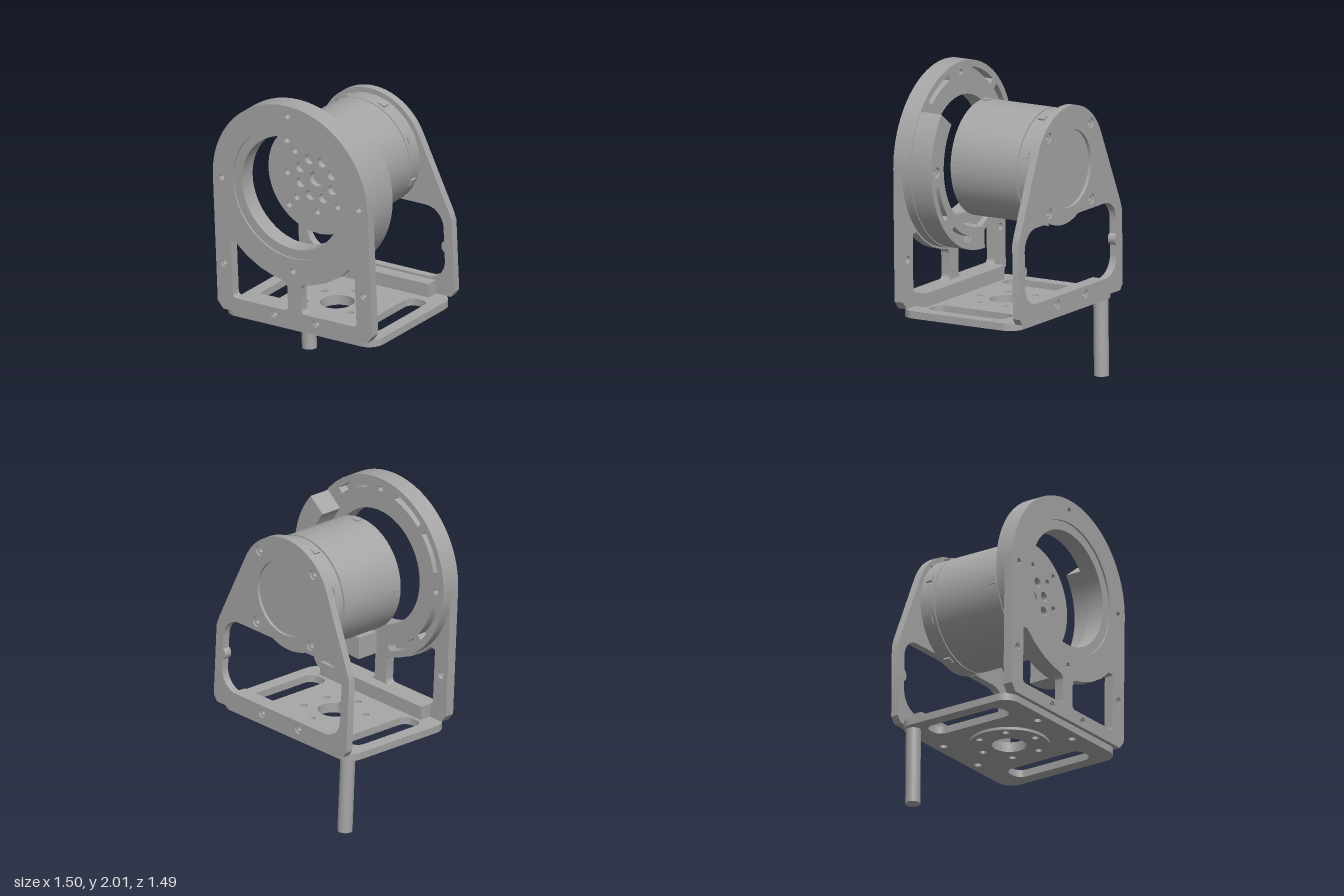
import * as THREE from 'three';
import { toCreasedNormals } from 'three/addons/utils/BufferGeometryUtils.js';

const CX = 0.02, CY = 1.425;   // shared axis of ring and motor
const rad = Math.PI / 180;

export function createModel() {
  const metal = new THREE.MeshStandardMaterial({ color: 0xa6a6a6 });
  metal.name = 'grey metal';
  const model = new THREE.Group();
  model.name = 'motorMount';
  // The whole mount is turned and leans slightly
  model.rotation.set(0, -0.84, 0.037, 'ZYX');

  // ---------- helpers ----------
  const add = (name, geo, x = 0, y = 0, z = 0) => {
    const m = new THREE.Mesh(geo, metal);
    m.name = name;
    m.position.set(x, y, z);
    model.add(m);
    return m;
  };
  const extrude = (shape, depth) => toCreasedNormals(
    new THREE.ExtrudeGeometry(shape, { depth, bevelEnabled: false, curveSegments: 32 }), 0.6);
  // Upright plate between z0 and z1
  const plate = (name, shape, z0, z1) => add(name, extrude(shape, z1 - z0), CX, 0, z0);
  // Flat plate between y0 and y1 (shape y runs towards -z)
  const slab = (name, shape, y0, y1) =>
    add(name, extrude(shape, y1 - y0).rotateX(-Math.PI / 2), CX, y0, 0);
  const circle = (C, x, y, r) => new C().absarc(x, y, r, 0, Math.PI * 2, C === THREE.Path);
  const roundRect = (C, x0, y0, x1, y1, r) => {
    const p = new C();
    p.absarc(x1 - r, y0 + r, r, -Math.PI / 2, 0);
    p.absarc(x1 - r, y1 - r, r, 0, Math.PI / 2);
    p.absarc(x0 + r, y1 - r, r, Math.PI / 2, Math.PI);
    p.absarc(x0 + r, y0 + r, r, Math.PI, Math.PI * 1.5);
    p.closePath();
    return p;
  };
  const sector = (C, y, r0, r1, a0, a1) => {
    const p = new C();
    p.absarc(0, y, r1, a0 * rad, a1 * rad, false);
    p.absarc(0, y, r0, a1 * rad, a0 * rad, true);
    p.closePath();
    return p;
  };
  const hole = (s, x, y, r) => s.holes.push(circle(THREE.Path, x, y, r));
  const ringHoles = (s, y, n, R, r, start = 0) => {
    for (let i = 0; i < n; i++) {
      const a = start * rad + i * Math.PI * 2 / n;
      hole(s, R * Math.cos(a), y + R * Math.sin(a), r);
    }
  };
  // Socket screw head along z, made as a small ring
  const screw = (x, y, z, r = 0.032) => {
    const s = circle(THREE.Shape, 0, 0, r);
    s.holes.push(circle(THREE.Path, 0, 0, r * 0.5));
    add('screwHead', extrude(s, 0.03), CX + x, y, z);
  };

  // ---------- front plate: ring on two legs and a strut ----------
  const R = 0.588, BOT = 0.54;
  const front = new THREE.Shape();
  front.moveTo(-R + 0.04, BOT);
  front.lineTo(R - 0.04, BOT);
  front.lineTo(R, BOT + 0.05);
  front.absarc(0, CY, R, 0, Math.PI, false);
  front.lineTo(-R, BOT + 0.05);
  front.closePath();
  hole(front, 0, CY, 0.435);
  ringHoles(front, CY, 4, 0.52, 0.019);
  for (const s of [-1, 1]) {
    const w = new THREE.Path();
    w.moveTo(s * 0.05, 0.66);
    w.quadraticCurveTo(s * 0.05, 0.63, s * 0.08, 0.63);
    w.lineTo(s * 0.44, 0.63);
    w.quadraticCurveTo(s * 0.47, 0.63, s * 0.47, 0.66);
    w.lineTo(s * 0.47, 1.0);
    for (const x of [0.43, 0.35, 0.25, 0.16, 0.1]) w.lineTo(s * x, CY - Math.sqrt(0.6 * 0.6 - x * x));
    w.quadraticCurveTo(s * 0.05, 0.825, s * 0.05, 0.79);
    w.closePath();
    front.holes.push(w);
    hole(front, s * 0.53, 0.85, 0.024);
    hole(front, s * 0.16, 0.585, 0.024);
  }
  plate('frontPlate', front, 0.363, 0.426);

  const seat = circle(THREE.Shape, 0, CY, 0.437);
  hole(seat, 0, CY, 0.375);
  plate('innerRing', seat, 0.3, 0.414);

  // Rear layer of the ring with curved slots
  const rear = circle(THREE.Shape, 0, CY, R);
  hole(rear, 0, CY, 0.436);
  ringHoles(rear, CY, 4, 0.52, 0.019);
  for (const a of [62, 118, 152, 208, 242])
    rear.holes.push(sector(THREE.Path, CY, 0.505, 0.545, a - 14, a + 14));
  plate('rearRing', rear, 0.3, 0.363);

  // Curved housing behind the ring, on one side only
  const arcBase = sector(THREE.Shape, CY, 0.44, 0.582, -92, 38);
  plate('curvedHousing', arcBase, 0.2, 0.3);
  const arcFace = sector(THREE.Shape, CY, 0.44, 0.582, -92, 38);
  for (const a of [-24, -62])
    arcFace.holes.push(sector(THREE.Path, CY, 0.5, 0.54, a - 13, a + 13));
  hole(arcFace, 0.52, CY, 0.035);
  plate('housingFace', arcFace, 0.15, 0.2);
  screw(0.52, CY, 0.165, 0.03);

  // ---------- back plate: tapered, with a window ----------
  const HW = 0.59;
  const back = new THREE.Shape();
  back.moveTo(-HW + 0.03, BOT);
  back.lineTo(HW - 0.03, BOT);
  back.lineTo(HW, BOT + 0.04);
  back.lineTo(HW, 1.05);
  back.lineTo(HW - 0.02, 1.11);
  back.absarc(0, CY, 0.395, 25 * rad, 155 * rad, false);
  back.lineTo(-HW + 0.02, 1.11);
  back.lineTo(-HW, 1.05);
  back.lineTo(-HW, BOT + 0.04);
  back.closePath();
  back.holes.push(roundRect(THREE.Path, -0.525, 0.645, 0.525, 1.125, 0.13));
  hole(back, 0, CY, 0.245);
  for (const s of [-1, 1]) {
    hole(back, s * 0.24, CY + 0.24, 0.034);
    hole(back, s * 0.24, CY - 0.24, 0.034);
    hole(back, s * 0.16, 0.595, 0.03);
  }
  plate('backPlate', back, -0.495, -0.445);
  for (const s of [-1, 1]) {
    for (const t of [-1, 1]) screw(s * 0.24, CY + t * 0.24, -0.485);
    screw(s * 0.16, 0.595, -0.485, 0.029);
    // Screw bosses on the legs
    const boss = circle(THREE.Shape, s * 0.545, 0.87, 0.042);
    hole(boss, s * 0.545, 0.87, 0.022);
    plate('legBoss', boss, -0.496, -0.444);
    screw(s * 0.53, 0.85, 0.385);
    screw(s * 0.16, 0.585, 0.385);
  }

  // ---------- motor ----------
  const tube = (name, r, z0, z1, seg = 64) => add(name,
    new THREE.CylinderGeometry(r, r, z1 - z0, seg).rotateX(Math.PI / 2), CX, CY, (z0 + z1) / 2);
  tube('motorBody', 0.364, -0.335, 0.11);
  tube('motorGroove', 0.352, -0.345, -0.335);
  tube('motorRearRing', 0.362, -0.445, -0.345);
  tube('rearDisc', 0.245, -0.475, -0.445);
  const face = circle(THREE.Shape, 0, CY, 0.364);
  hole(face, 0, CY, 0.05);
  ringHoles(face, CY, 8, 0.13, 0.032, 22);
  ringHoles(face, CY, 8, 0.22, 0.02);
  ringHoles(face, CY, 4, 0.305, 0.02, 45);
  plate('motorFace', face, 0.11, 0.148);
  // Small clips around both ends of the body
  for (const [z, n, start] of [[0.11, 4, 0], [-0.39, 8, 22.5]]) {
    for (let i = 0; i < n; i++) {
      const a = start * rad + i * Math.PI * 2 / n;
      const clip = add('bodyClip', new THREE.BoxGeometry(0.03, 0.045, 0.045),
        CX + 0.358 * Math.cos(a), CY + 0.358 * Math.sin(a), z);
      clip.rotation.z = a;
    }
  }

  // ---------- base ----------
  const base = roundRect(THREE.Shape, -0.58, -0.4, 0.58, 0.455, 0.1);
  for (const s of [-1, 1])
    base.holes.push(roundRect(THREE.Path, s * 0.42 - 0.075, -0.26, s * 0.42 + 0.075, 0.31, 0.06));
  hole(base, 0, 0.02, 0.108);
  ringHoles(base, 0.02, 6, 0.2, 0.022, 30);
  for (const s of [-1, 1]) for (const y of [-0.33, 0.39]) hole(base, s * 0.18, y, 0.024);
  slab('basePlate', base, 0.495, 0.542);

  const disc = circle(THREE.Shape, 0, 0.02, 0.25);
  hole(disc, 0, 0.02, 0.108);
  ringHoles(disc, 0.02, 6, 0.2, 0.022, 30);
  slab('baseDisc', disc, 0.477, 0.495);

  // Rails joining the base to both plates
  add('frontRail', new THREE.BoxGeometry(0.9, 0.09, 0.08), CX, 0.585, 0.323);
  add('backRail', new THREE.BoxGeometry(0.9, 0.09, 0.08), CX, 0.585, -0.405);

  // Round post under one corner
  add('post', new THREE.CylinderGeometry(0.047, 0.047, 0.5, 32), -0.48, 0.25, -0.39);

  return model;
}
